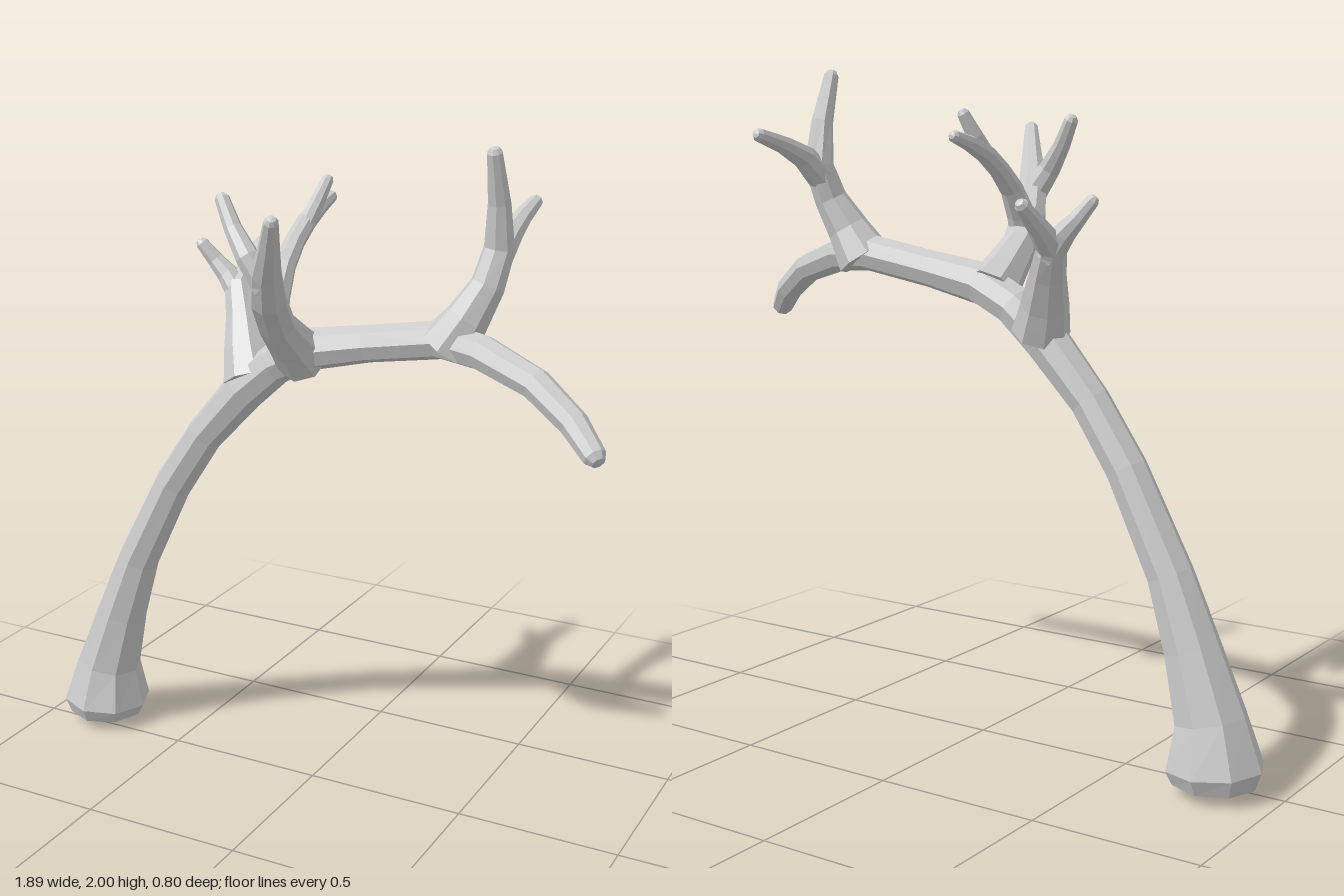
import * as THREE from 'three';

const SIDES = 8;

// Faceted limb lofted through rows of [x, y, z, radius], with a blunt rounded tip
function limb(name, rows, material, startBulge = 0) {
  const pts = rows.map(([x, y, z]) => new THREE.Vector3(x, y, z));
  const radii = rows.map((r) => r[3]);
  const n = pts.length;
  const endDir = pts[n - 1].clone().sub(pts[n - 2]).normalize();
  const endR = radii[n - 1];
  pts.push(pts[n - 1].clone().addScaledVector(endDir, endR * 0.6));
  radii.push(endR * 0.6);

  const pos = [], index = [];
  const last = pts.length - 1;
  const u = new THREE.Vector3(0, 0, 1);
  pts.forEach((p, j) => {
    // average direction of the neighbouring segments
    const t = new THREE.Vector3();
    if (j > 0) t.add(p.clone().sub(pts[j - 1]).normalize());
    if (j < last) t.add(pts[j + 1].clone().sub(p).normalize());
    t.normalize();
    if (j === 0 && Math.abs(t.z) > 0.9) u.set(1, 0, 0);
    u.addScaledVector(t, -u.dot(t)).normalize();
    const v = t.clone().cross(u);
    for (let i = 0; i < SIDES; i++) {
      const a = (i / SIDES) * Math.PI * 2;
      const q = p.clone()
        .addScaledVector(u, Math.cos(a) * radii[j])
        .addScaledVector(v, Math.sin(a) * radii[j]);
      pos.push(q.x, q.y, q.z);
    }
  });
  for (let j = 0; j < last; j++) {
    for (let i = 0; i < SIDES; i++) {
      const k = (i + 1) % SIDES;
      const a = j * SIDES + i, b = j * SIDES + k;
      index.push(a, b, b + SIDES, a, b + SIDES, a + SIDES);
    }
  }
  // end caps
  const startDir = pts[0].clone().sub(pts[1]).normalize();
  const c0 = pts[0].clone().addScaledVector(startDir, startBulge);
  const c1 = pts[last].clone().addScaledVector(endDir, endR * 0.15);
  const s = pos.length / 3;
  pos.push(c0.x, c0.y, c0.z, c1.x, c1.y, c1.z);
  for (let i = 0; i < SIDES; i++) {
    const k = (i + 1) % SIDES;
    index.push(s, k, i, s + 1, last * SIDES + i, last * SIDES + k);
  }
  const geo = new THREE.BufferGeometry();
  geo.setAttribute('position', new THREE.Float32BufferAttribute(pos, 3));
  geo.setIndex(index);
  geo.computeVertexNormals();
  const mesh = new THREE.Mesh(geo, material);
  mesh.name = name;
  return mesh;
}

export function createModel() {
  const group = new THREE.Group();
  group.name = 'antler';
  const mat = new THREE.MeshStandardMaterial({ color: 0xcccccc, flatShading: true });
  const add = (name, rows, bulge) => group.add(limb(name, rows, mat, bulge));

  // Main beam: flared foot, long arch, drooping tip that swings forward
  add('mainBeam', [
    [-0.81, 0.03, -0.05, 0.122],
    [-0.81, 0.075, -0.05, 0.142],
    [-0.795, 0.21, -0.05, 0.105],
    [-0.735, 0.4, -0.05, 0.083],
    [-0.662, 0.6, -0.05, 0.068],
    [-0.52, 0.88, -0.05, 0.061],
    [-0.4, 1.06, -0.05, 0.059],
    [-0.26, 1.22, -0.055, 0.066],
    [-0.15, 1.315, -0.055, 0.062],
    [-0.03, 1.375, -0.05, 0.064],
    [0.15, 1.41, -0.055, 0.055],
    [0.38, 1.45, -0.052, 0.056],
    [0.52, 1.438, -0.015, 0.052],
    [0.7, 1.385, 0.04, 0.046],
    [0.83, 1.308, 0.095, 0.041],
    [0.91, 1.243, 0.15, 0.033],
  ], 0.03);

  // Lower fork, leaning back
  add('lowerStem', [
    [-0.24, 1.25, -0.06, 0.085],
    [-0.275, 1.33, -0.095, 0.07],
    [-0.315, 1.42, -0.145, 0.053],
    [-0.355, 1.5, -0.19, 0.044],
    [-0.358, 1.55, -0.255, 0.032],
    [-0.352, 1.615, -0.335, 0.021],
  ]);
  add('lowerSideTine', [
    [-0.34, 1.47, -0.18, 0.042],
    [-0.395, 1.535, -0.19, 0.034],
    [-0.435, 1.575, -0.187, 0.026],
    [-0.475, 1.625, -0.175, 0.02],
  ]);

  // Middle fork, leaning forward
  add('middleStem', [
    [-0.06, 1.35, -0.05, 0.085],
    [-0.06, 1.405, 0.02, 0.068],
    [-0.055, 1.48, 0.115, 0.054],
    [-0.03, 1.57, 0.205, 0.052],
    [0.0, 1.66, 0.268, 0.044],
    [0.04, 1.74, 0.325, 0.032],
    [0.078, 1.825, 0.38, 0.021],
  ]);
  add('middleSideTine', [
    [-0.01, 1.62, 0.25, 0.042],
    [-0.065, 1.7, 0.26, 0.034],
    [-0.12, 1.77, 0.24, 0.026],
    [-0.165, 1.845, 0.22, 0.021],
  ]);
  // Tine curling back over the beam
  add('middleBackTine', [
    [-0.045, 1.5, 0.16, 0.048],
    [-0.05, 1.57, 0.125, 0.042],
    [-0.05, 1.645, 0.075, 0.034],
    [-0.052, 1.7, 0.01, 0.03],
    [-0.052, 1.745, -0.06, 0.029],
    [-0.052, 1.775, -0.14, 0.024],
    [-0.053, 1.795, -0.22, 0.018],
  ]);
  add('middleBackProng', [
    [-0.05, 1.735, -0.05, 0.027],
    [-0.035, 1.795, -0.09, 0.024],
    [-0.015, 1.86, -0.122, 0.018],
  ]);

  // Upper fork: one tine upright, one reaching back
  add('upperStem', [
    [0.4, 1.43, -0.05, 0.085],
    [0.455, 1.52, -0.062, 0.064],
    [0.5, 1.61, -0.088, 0.05],
    [0.518, 1.71, -0.12, 0.045],
    [0.523, 1.84, -0.095, 0.033],
    [0.522, 1.98, -0.05, 0.022],
  ]);
  add('upperBackTine', [
    [0.51, 1.66, -0.1, 0.045],
    [0.523, 1.735, -0.18, 0.037],
    [0.523, 1.77, -0.27, 0.028],
    [0.52, 1.8, -0.385, 0.021],
  ]);

  return group;
}
